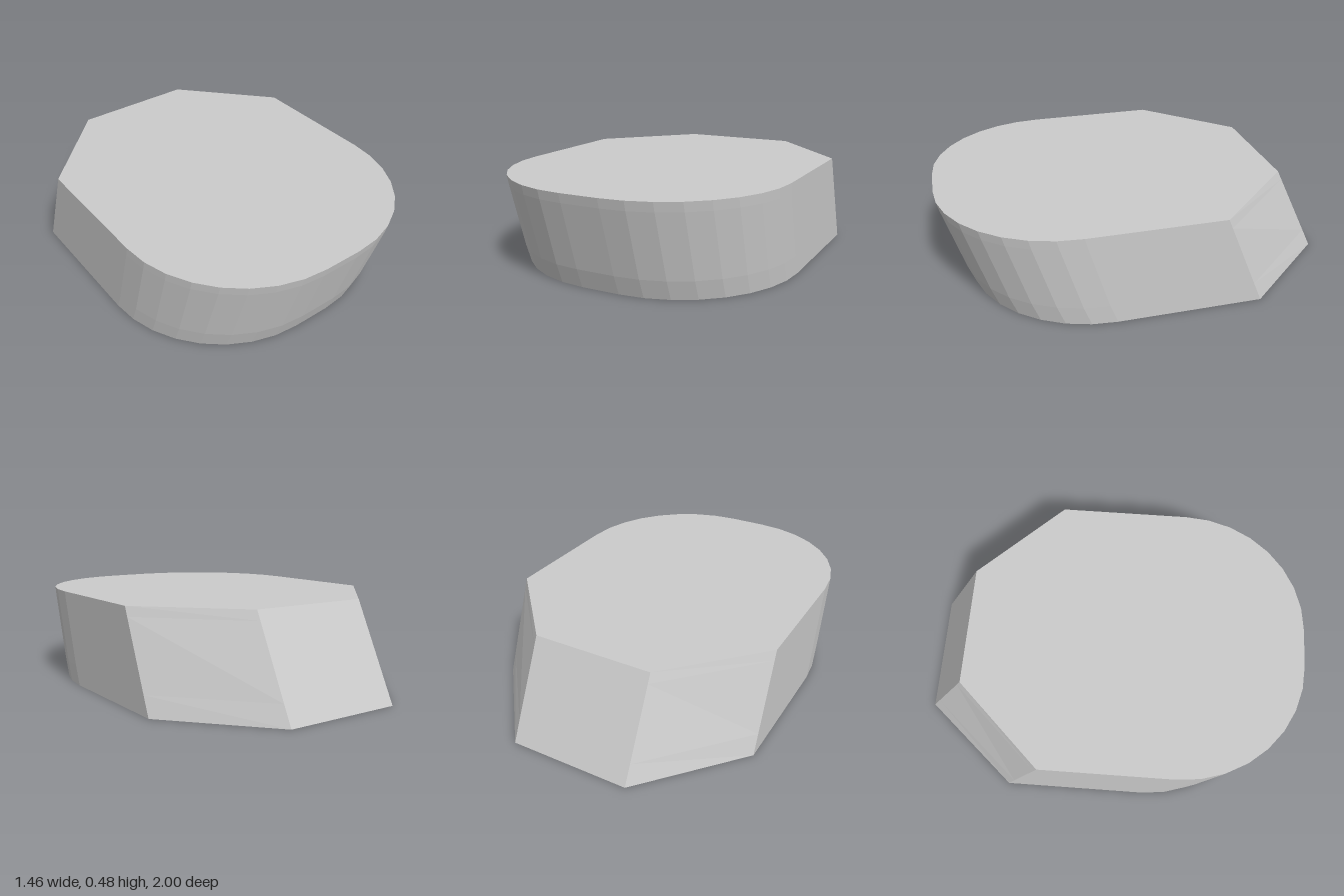
import * as THREE from 'three';

const HEIGHT = 0.483;
const ARC_STEPS = 8;

// Horizontal outline at height y: rounded front, chamfered back
function outline(y, frontShift) {
  const pts = [];
  const t = y / HEIGHT;
  const back = (a, b) => THREE.MathUtils.lerp(a, b, t);
  for (const side of [1, -1]) {
    for (let i = 0; i <= ARC_STEPS; i++) {
      const k = side > 0 ? i : ARC_STEPS - i;
      const a = (k / ARC_STEPS) * Math.PI / 2;
      pts.push([side * (0.1 + 0.632 * Math.cos(a)), y, 0.36 - frontShift + 0.64 * Math.sin(a)]);
    }
  }
  pts.push(
    [-0.732, y, back(-0.52, -0.32)],
    [-0.315, y, back(-1, -0.76)],
    [0.315, y, back(-1, -0.76)],
    [0.732, y, back(-0.52, -0.32)]
  );
  return pts;
}

export function createModel() {
  // Rows of [height, how far the front is drawn back]
  const rows = [[0, 0.15], [0.1, 0.112], [0.435, 0.012], [HEIGHT, 0]].map(([y, s]) => outline(y, s));
  const n = rows[0].length;
  const pos = [];
  const tri = (a, b, c) => pos.push(...a, ...b, ...c);

  for (let i = 0; i < n; i++) {
    const j = (i + 1) % n;
    // Sloping wall
    for (let r = 0; r < rows.length - 1; r++) {
      const lo = rows[r], hi = rows[r + 1];
      tri(lo[i], hi[i], hi[j]);
      tri(lo[i], hi[j], lo[j]);
    }
    // Flat top and base
    const top = rows[rows.length - 1];
    tri([0, HEIGHT, 0], top[j], top[i]);
    tri([0, 0, 0], rows[0][i], rows[0][j]);
  }

  const geometry = new THREE.BufferGeometry();
  geometry.setAttribute('position', new THREE.Float32BufferAttribute(pos, 3));
  geometry.computeVertexNormals();

  const block = new THREE.Mesh(
    geometry,
    new THREE.MeshStandardMaterial({ color: 0xcccccc, flatShading: true })
  );
  block.name = 'slantedBlock';

  const group = new THREE.Group();
  group.name = 'model';
  group.add(block);
  return group;
}
